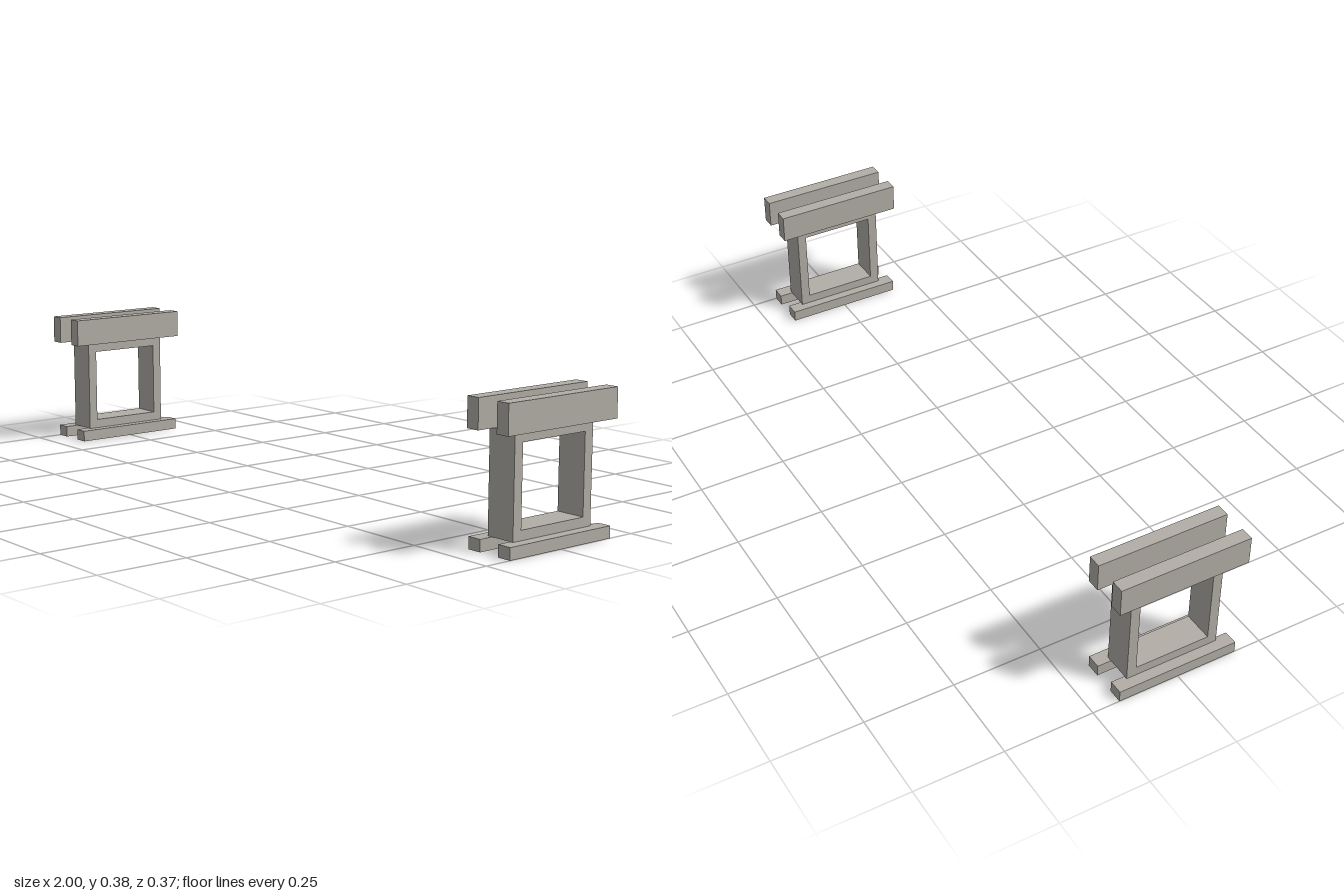
import * as THREE from 'three';

export function createModel() {
  const group = new THREE.Group();
  const stone = new THREE.MeshStandardMaterial({ color: 0xb2aea7 });
  stone.name = 'warm grey';

  // Box given by its extents on each axis
  const bar = (name, x0, x1, y0, y1, halfZ) => {
    const mesh = new THREE.Mesh(new THREE.BoxGeometry(x1 - x0, y1 - y0, halfZ * 2), stone);
    mesh.position.set((x0 + x1) / 2, (y0 + y1) / 2, 0);
    mesh.name = name;
    return mesh;
  };

  // Rectangular outline, traced for a shape or a hole
  const rect = (path, w, y0, y1) => {
    path.moveTo(-w, y0);
    path.lineTo(w, y0);
    path.lineTo(w, y1);
    path.lineTo(-w, y1);
    path.closePath();
    return path;
  };

  // Open square frame, extruded along x
  const outline = rect(new THREE.Shape(), 0.134, 0.032, 0.299);
  outline.holes.push(rect(new THREE.Path(), 0.107, 0.058, 0.272));
  const frameGeometry = new THREE.ExtrudeGeometry(outline, { depth: 0.085, bevelEnabled: false });
  frameGeometry.translate(0, 0, -0.0425);
  frameGeometry.rotateY(Math.PI / 2);

  // One stand at each end, mirrored
  for (const side of [-1, 1]) {
    const stand = new THREE.Group();
    stand.name = side > 0 ? 'leftStand' : 'rightStand';

    const frame = new THREE.Mesh(frameGeometry, stone);
    frame.position.x = side * 0.9275;
    frame.name = 'frame';
    stand.add(frame);

    // Paired rails above and feet below
    const parts = [
      bar('outerTopRail', 0.962, 1, 0.299, 0.378, 0.187),
      bar('innerTopRail', 0.862, 0.9, 0.299, 0.378, 0.187),
      bar('outerFoot', 0.96, 1, 0, 0.032, 0.173),
      bar('innerFoot', 0.859, 0.899, 0, 0.032, 0.173),
    ];
    for (const part of parts) {
      part.position.x *= side;
      stand.add(part);
    }
    group.add(stand);
  }
  return group;
}
